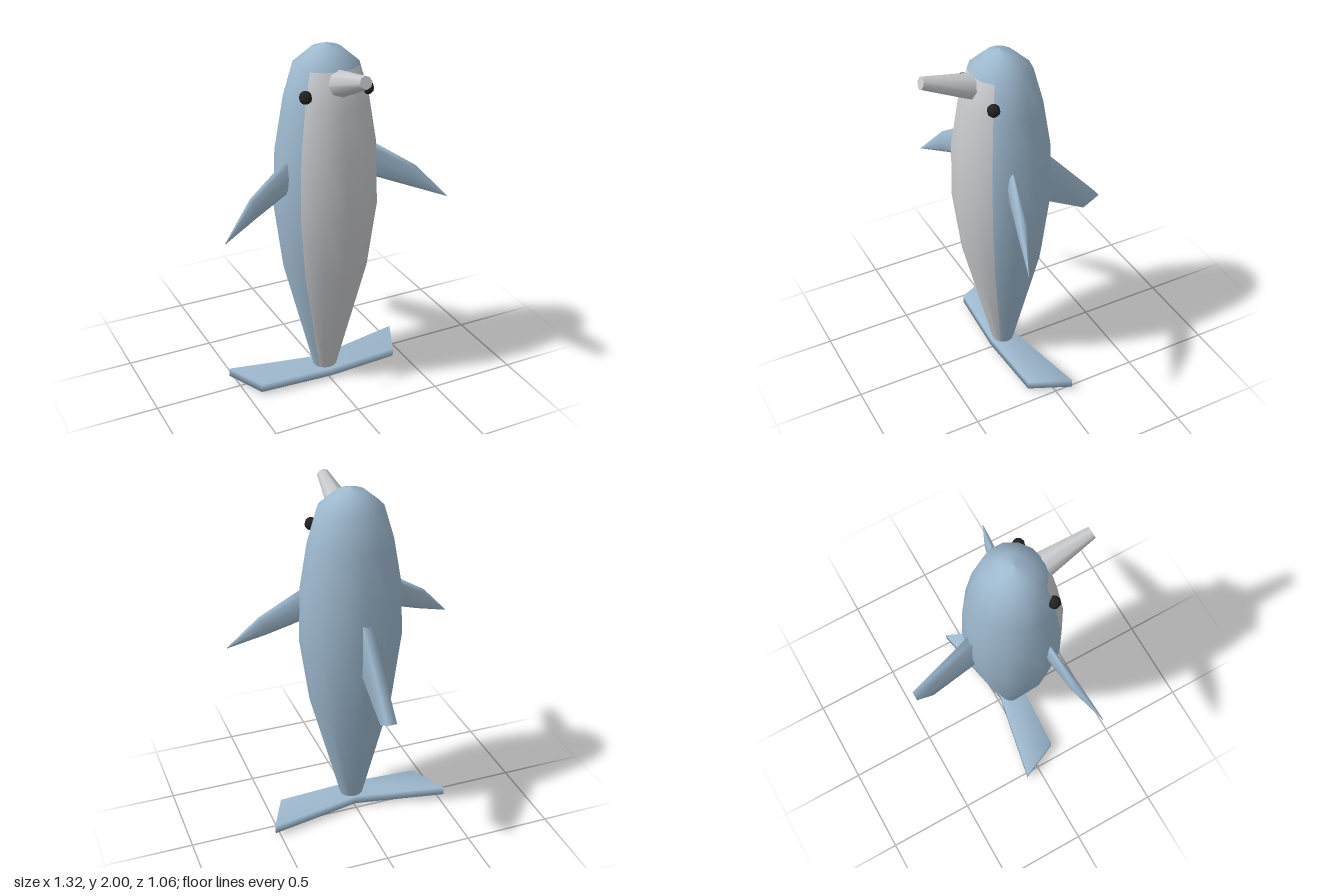
import * as THREE from 'three';

const skin = new THREE.MeshStandardMaterial({ color: 0x9db8ce });
skin.name = 'blue skin';
const pale = new THREE.MeshStandardMaterial({ color: 0xc8c9cc });
pale.name = 'pale belly';
const black = new THREE.MeshStandardMaterial({ color: 0x222222 });
black.name = 'eye black';

function add(group, name, geometry, material) {
  const mesh = new THREE.Mesh(geometry, material);
  mesh.name = name;
  group.add(mesh);
  return mesh;
}

// Closed, smooth skin through cross-sections with equal point counts
function loft(rings) {
  const n = rings[0].length, last = (rings.length - 1) * n, index = [];
  for (let r = 0; r < rings.length - 1; r++) {
    for (let i = 0; i < n; i++) {
      const a = r * n + i, b = r * n + (i + 1) % n;
      index.push(a, b, b + n, a, b + n, a + n);
    }
  }
  for (let i = 1; i < n - 1; i++) {
    index.push(0, i + 1, i, last, last + i, last + i + 1);
  }
  const g = new THREE.BufferGeometry();
  g.setAttribute('position', new THREE.Float32BufferAttribute(rings.flat(2), 3));
  g.setIndex(index);
  g.computeVertexNormals();
  return g;
}

// Lathed body; the front four strips are pale up to the forehead
function bodyGeometry() {
  const profile = [
    [0, 0], [0.068, 0.07], [0.24, 0.74], [0.29, 1.12], [0.279, 1.44],
    [0.235, 1.7], [0.18, 1.89], [0.08, 1.975], [0, 2],
  ].map(([r, y]) => new THREE.Vector2(r, y));
  const sides = 14, step = Math.PI * 2 / sides;
  const g = new THREE.LatheGeometry(profile, sides, -2 * step);
  g.scale(1, 1, 0.92);
  g.translate(0, 0, 0.085);
  const strip = (profile.length - 1) * 6, paleCount = 6 * 6;
  for (let i = 0; i < 4; i++) {
    g.addGroup(i * strip, paleCount, 1);
    g.addGroup(i * strip + paleCount, strip - paleCount, 0);
  }
  g.addGroup(4 * strip, (sides - 4) * strip, 0);
  return g;
}

// Flipper: flattened oval sections tapering to a point
function flipperGeometry(side) {
  // centre x, y, z, half height, half thickness, lean of the section in x
  const sections = [
    [0.23, 1.345, 0.148, 0.095, 0.022, 0.012],
    [0.47, 1.215, 0.205, 0.057, 0.026, 0.02],
    [0.66, 1.08, 0.27, 0.002, 0.002, 0],
  ];
  return loft(sections.map(([x, y, z, h, d, lean]) =>
    Array.from({ length: 8 }, (_, i) => {
      const t = side * i * Math.PI / 4;
      return [side * (x + lean * Math.cos(t)), y + h * Math.cos(t), z + d * Math.sin(t)];
    })));
}

export function createModel() {
  const model = new THREE.Group();
  model.name = 'dolphin';

  add(model, 'body', bodyGeometry(), [skin, pale]);

  // Beak, tilted upward
  const beak = add(model, 'beak', new THREE.CylinderGeometry(0.034, 0.078, 0.335, 8), pale);
  beak.position.set(0, 1.866, 0.361);
  beak.rotation.x = Math.PI / 2 - 0.32;

  // Eyes and flippers on both sides
  for (const side of [1, -1]) {
    const label = side > 0 ? 'left' : 'right';
    const eye = add(model, label + 'Eye', new THREE.SphereGeometry(0.035, 8, 6), black);
    eye.position.set(side * 0.177, 1.77, 0.213);
    add(model, label + 'Flipper', flipperGeometry(side), skin);
  }

  // Dorsal fin, swept down and back: [z low, y low, z high, y high]
  const dorsal = [[-0.05, 1.06, -0.05, 1.445], [-0.43, 0.855, -0.53, 0.91]];
  add(model, 'dorsalFin', loft(dorsal.map(([zl, yl, zh, yh]) => [
    [-0.027, yl, zl], [-0.027, yh, zh], [0.027, yh, zh], [0.027, yl, zl],
  ])), skin);

  // Tail flukes: [x back, z back, x front, z front]
  const flukes = [[-0.53, -0.09, -0.425, 0.14], [0, 0.015, 0, 0.165], [0.53, -0.09, 0.425, 0.14]];
  add(model, 'tailFlukes', loft(flukes.map(([xb, zb, xf, zf]) => [
    [xb, 0.02, zb], [xb, 0.07, zb], [xf, 0.07, zf], [xf, 0.02, zf],
  ])), skin);

  return model;
}
